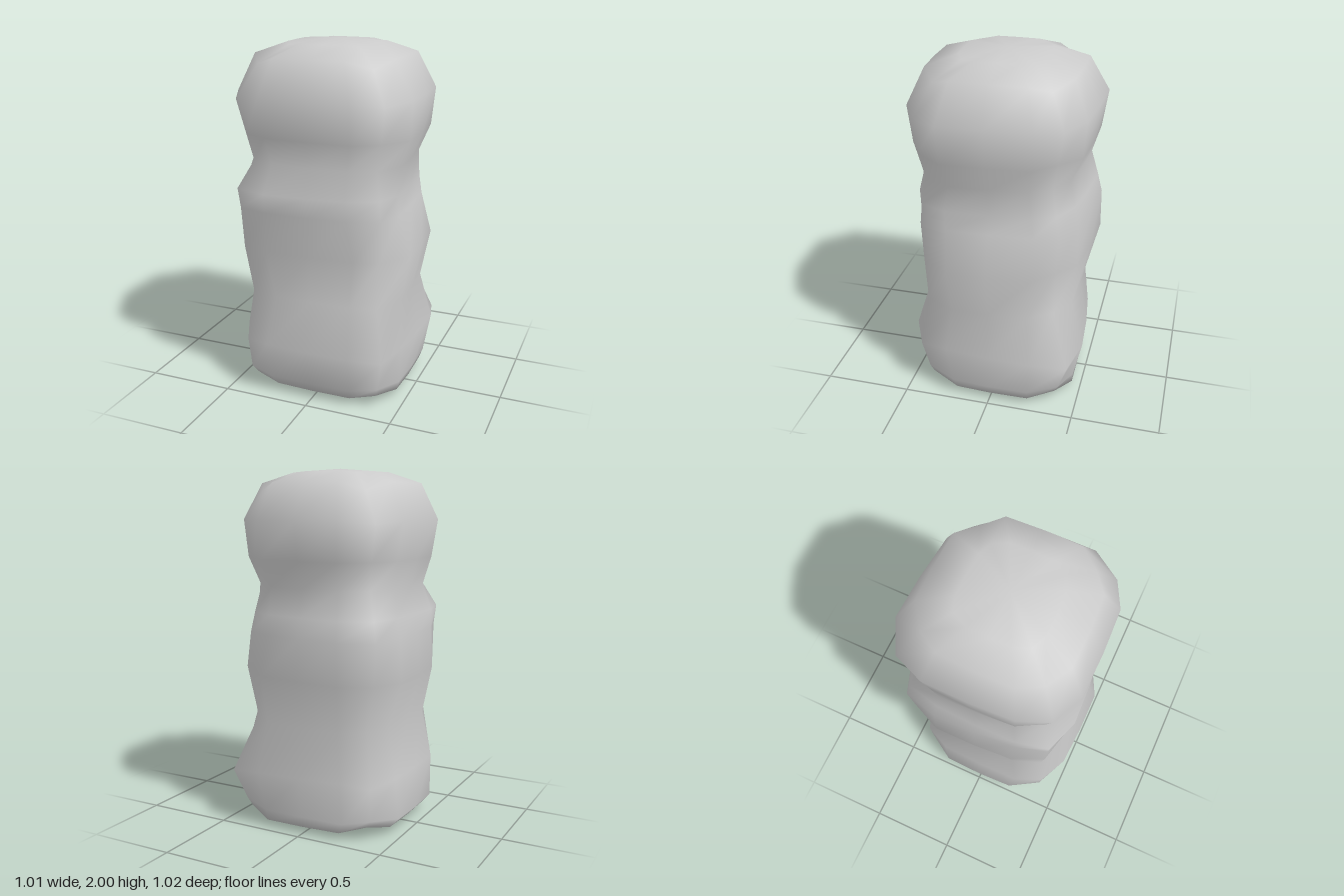
import * as THREE from 'three';

// Cross-sections from bottom to top:
// y, reach along +x, -x, +z, -z, then along the diagonals ++, +-, -+, -- (x, z signs),
// and how far the diagonal corners are lifted
const SECTIONS = [
  [0.01, 0.24, 0.24, 0.23, 0.24, 0.29, 0.29, 0.29, 0.29, 0.01],
  [0.04, 0.45, 0.44, 0.40, 0.45, 0.52, 0.53, 0.51, 0.50, 0.03],
  [0.10, 0.47, 0.495, 0.43, 0.46, 0.545, 0.56, 0.55, 0.55, 0.02],
  [0.33, 0.50, 0.48, 0.50, 0.49, 0.59, 0.64, 0.57, 0.56, -0.03],
  [0.60, 0.455, 0.43, 0.42, 0.44, 0.53, 0.495, 0.525, 0.495, 0],
  [0.87, 0.505, 0.50, 0.44, 0.49, 0.545, 0.51, 0.57, 0.595, 0],
  [1.10, 0.44, 0.485, 0.465, 0.485, 0.555, 0.525, 0.585, 0.62, 0],
  [1.21, 0.43, 0.47, 0.48, 0.46, 0.54, 0.50, 0.60, 0.59, 0],
  [1.36, 0.43, 0.44, 0.42, 0.425, 0.51, 0.46, 0.50, 0.53, 0],
  [1.51, 0.49, 0.47, 0.47, 0.48, 0.55, 0.50, 0.54, 0.54, 0],
  [1.72, 0.505, 0.505, 0.50, 0.505, 0.58, 0.545, 0.59, 0.605, -0.02],
  [1.92, 0.40, 0.41, 0.41, 0.41, 0.45, 0.44, 0.465, 0.455, -0.04],
  [1.98, 0.24, 0.25, 0.24, 0.23, 0.28, 0.28, 0.29, 0.29, -0.01],
];
const SIDES = 16;

// One rounded-square ring of 16 corners, running from +x towards +z
function ring([y, px, nx, pz, nz, pp, pn, np, nn, lift]) {
  const points = [];
  const axes = [[px, 0], [0, pz], [-nx, 0], [0, -nz]];
  const diagonals = [pp, np, nn, pn];
  axes.forEach((a, i) => {
    const b = axes[(i + 1) % 4];
    const d = diagonals[i], c = d * Math.SQRT1_2;
    const sx = Math.sign(a[0] + b[0]), sz = Math.sign(a[1] + b[1]);
    // Each side leans outwards towards its more bulging corner
    const near = (m, n, other) => {
      const out = 0.985 + 0.3 * (d - other) / Math.hypot(...m);
      return [m[0] * out + n[0] * 0.5, y, m[1] * out + n[1] * 0.5];
    };
    points.push(
      [a[0], y, a[1]],
      near(a, b, diagonals[(i + 3) % 4]),
      [sx * c, y + lift, sz * c],
      near(b, a, diagonals[(i + 1) % 4]),
    );
  });
  return points;
}

// Skin the rings and close both ends with a fan
function skin(sections) {
  const points = sections.flatMap(ring);
  const bottom = points.push([0, 0, 0]) - 1;
  const top = points.push([0, 2, 0]) - 1;
  const last = (sections.length - 1) * SIDES;
  const index = [];
  for (let i = 0; i < SIDES; i++) {
    const j = (i + 1) % SIDES;
    for (let r = 0; r < last; r += SIDES) {
      index.push(r + i, r + SIDES + i, r + j, r + j, r + SIDES + i, r + SIDES + j);
    }
    index.push(bottom, i, j, top, last + j, last + i);
  }
  const geometry = new THREE.BufferGeometry();
  geometry.setAttribute('position', new THREE.Float32BufferAttribute(points.flat(), 3));
  geometry.setIndex(index);
  geometry.computeVertexNormals();
  return geometry;
}

export function createModel() {
  const group = new THREE.Group();
  group.name = 'lumpyColumn';
  // Three stacked bulges formed as one smooth body
  const body = new THREE.Mesh(skin(SECTIONS), new THREE.MeshStandardMaterial({ color: 0xcccccc }));
  body.name = 'body';
  group.add(body);
  return group;
}
